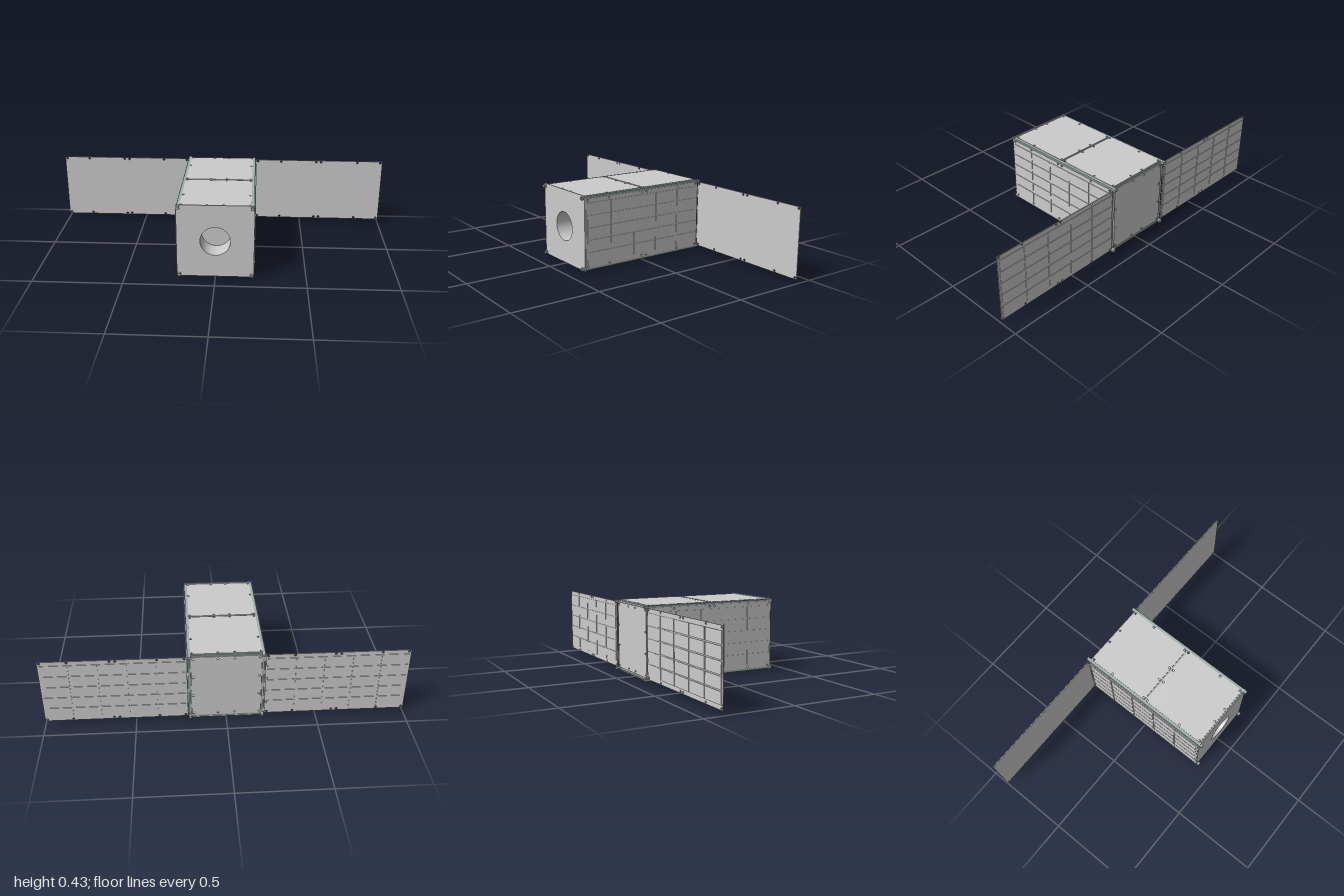
import * as THREE from 'three';

const grey = new THREE.MeshStandardMaterial({ color: 0xcccccc });
const greyDouble = new THREE.MeshStandardMaterial({ color: 0xcccccc, side: THREE.DoubleSide });
const metal = new THREE.MeshStandardMaterial({ color: 0x9fb0ac });

const MID = 0.218; // height of the long axis

function box(parent, name, size, pos, material = grey) {
  const mesh = new THREE.Mesh(new THREE.BoxGeometry(...size), material);
  mesh.name = name;
  mesh.position.set(...pos);
  parent.add(mesh);
  return mesh;
}

// Flat sheet in XY, centred, outer face at +z, with round holes [x, y, radius]
function sheet(name, w, h, t, holes, segments = 16) {
  const shape = new THREE.Shape();
  shape.moveTo(-w / 2, -h / 2);
  shape.lineTo(w / 2, -h / 2);
  shape.lineTo(w / 2, h / 2);
  shape.lineTo(-w / 2, h / 2);
  shape.closePath();
  for (const [x, y, r] of holes) {
    const hole = new THREE.Path();
    hole.absarc(x, y, r, 0, Math.PI * 2, true);
    shape.holes.push(hole);
  }
  const geo = new THREE.ExtrudeGeometry(shape, { depth: t, bevelEnabled: false, curveSegments: segments });
  geo.translate(0, 0, -t / 2);
  const mesh = new THREE.Mesh(geo, grey);
  mesh.name = name;
  return mesh;
}

// Screw holes in two rows
const holeRows = (xs, y) => xs.flatMap((x) => [[x, y, 0.006], [x, -y, 0.006]]);

// Sheet with a grid of thin solar cells on its outer face
function solarPanel(name, w, h, t, xs) {
  const panel = new THREE.Group();
  panel.name = name;
  panel.add(sheet('panelSheet', w, h, t, holeRows(xs, h / 2 - 0.009)));
  const cols = 5, rows = 5, gap = 0.006;
  const pw = (w - 0.014) / cols, ph = (h - 0.042) / rows;
  for (let i = 0; i < cols; i++) {
    for (let j = 0; j < rows; j++) {
      box(panel, 'solarCell', [pw - gap, ph - gap, 0.003],
        [(i - 2) * pw, (j - 2) * ph, t / 2 + 0.0015]);
    }
  }
  return panel;
}

export function createModel() {
  const model = new THREE.Group();
  model.name = 'satellite';

  // Frame: four long rails, cross beams and uprights
  const frame = new THREE.Group();
  frame.name = 'frame';
  model.add(frame);
  const railY = [0.018, 0.415];
  for (const s of [-1, 1]) {
    for (const y of railY) {
      box(frame, 'rail', [0.018, 0.015, 0.83], [s * 0.2, y, 0], metal);
    }
    for (const z of [-0.388, 0, 0.388]) {
      box(frame, 'upright', [0.012, 0.39, 0.012], [s * 0.2, MID, z], metal);
    }
  }
  for (const y of railY) {
    for (const z of [-0.388, 0, 0.388]) {
      box(frame, 'crossBeam', [0.39, 0.01, 0.014], [0, y, z], metal);
    }
  }

  // Side panels with solar cells
  const zs = [-0.38, -0.24, -0.015, 0.015, 0.24, 0.38];
  for (const s of [-1, 1]) {
    const side = solarPanel(s > 0 ? 'leftPanel' : 'rightPanel', 0.785, 0.389, 0.005, zs);
    side.rotation.y = s * Math.PI / 2;
    side.position.set(s * 0.2105, MID, 0);
    model.add(side);
  }

  // Bottom panel with solar cells facing down
  const bottom = solarPanel('bottomPanel', 0.785, 0.385, 0.005, zs);
  bottom.rotation.set(Math.PI / 2, 0, Math.PI / 2);
  bottom.position.set(0, 0.006, 0);
  model.add(bottom);

  // Two plain top panels with a seam between them
  for (const s of [-1, 1]) {
    const holes = [];
    for (const x of [-0.185, -0.045, 0.045, 0.185]) {
      holes.push([x, 0.183, 0.006], [x, -0.183, 0.006]);
    }
    holes.push([-0.185, -s * 0.043, 0.006], [0.185, -s * 0.043, 0.006]);
    const top = sheet('topPanel', 0.386, 0.384, 0.005, holes);
    top.rotation.x = -Math.PI / 2;
    top.position.set(0, 0.4225, s * 0.197);
    model.add(top);
  }

  // Front plate with the round opening
  const front = sheet('frontPlate', 0.424, 0.423, 0.006, [[0, 0, 0.083]], 48);
  front.position.set(0, MID, 0.397);
  model.add(front);

  // Recessed tube and its end disc
  const tube = new THREE.Mesh(new THREE.CylinderGeometry(0.083, 0.083, 0.12, 64, 1, true), greyDouble);
  tube.name = 'openingTube';
  tube.rotation.x = Math.PI / 2;
  tube.position.set(0, MID, 0.337);
  const disc = new THREE.Mesh(new THREE.CircleGeometry(0.083, 64), greyDouble);
  disc.name = 'openingFloor';
  disc.position.set(0, MID, 0.278);
  model.add(tube, disc);

  // Back plate
  const backHoles = holeRows([-0.18, -0.045, 0.045, 0.18], 0.18);
  for (const x of [-0.18, 0.18]) for (const y of [-0.06, 0.06]) backHoles.push([x, y, 0.006]);
  const back = sheet('backPlate', 0.384, 0.385, 0.005, backHoles);
  back.rotation.y = Math.PI;
  back.position.set(0, MID, -0.397);
  model.add(back);

  // Deployed wings: cells face backwards
  for (const s of [-1, 1]) {
    const xs = [0.225, 0.37, 0.59, 0.62, 0.845, 0.988].map((x) => -s * (x - 0.606));
    const wing = solarPanel(s > 0 ? 'leftWing' : 'rightWing', 0.788, 0.389, 0.005, xs);
    wing.rotation.y = Math.PI;
    wing.position.set(s * 0.606, MID, -0.399);
    model.add(wing);
    // Hinges joining the wing to the frame
    for (const y of [0.09, 0.346]) {
      const hinge = new THREE.Mesh(new THREE.CylinderGeometry(0.004, 0.004, 0.05, 12), metal);
      hinge.name = 'hinge';
      hinge.position.set(s * 0.211, y, -0.399);
      model.add(hinge);
    }
  }

  return model;
}
